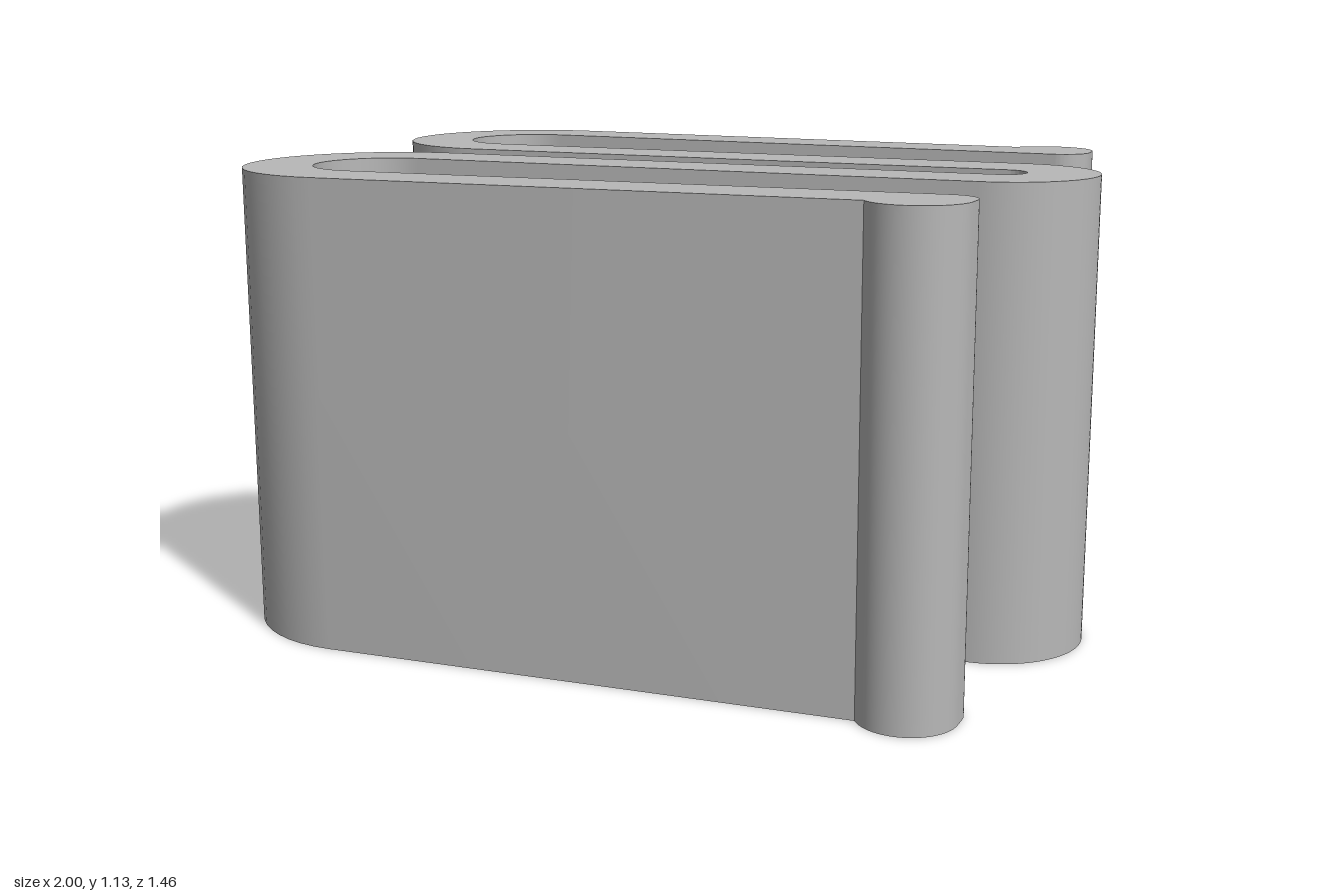
import * as THREE from 'three';
import { toCreasedNormals } from 'three/addons/utils/BufferGeometryUtils.js';

const HEIGHT = 1.13;
const STEPS = 24;

// Points on an arc in the x-z plane, angles in degrees from +x towards +z
function arc(cx, cz, r, from, to) {
  return Array.from({ length: STEPS + 1 }, (_, i) => {
    const a = THREE.MathUtils.degToRad(from + ((to - from) * i) / STEPS);
    return new THREE.Vector2(cx + r * Math.cos(a), cz + r * Math.sin(a));
  });
}

export function createModel() {
  const group = new THREE.Group();
  group.name = 'serpentineSpring';
  const grey = new THREE.MeshStandardMaterial({ color: 0xb8b8b8 });
  grey.name = 'grey';

  // Front half of the outline, from the outer to the inner side of the middle bend
  const half = [
    ...arc(0.773, 0, 0.227, 0, 90), // middle bend, outside
    ...arc(-0.667, 0.395, 0.166, 270, 87.6), // side bend, inside
    ...arc(0.787, 0.575, 0.075, -92.4, 0), // rounded arm tip
    ...arc(0.745, 0.61, 0.116, 0, 147), // end bead
    ...arc(-0.667, 0.395, 0.333, 87.6, 270), // side bend, outside
    ...arc(0.773, 0, 0.057, 90, 0), // middle bend, inside
  ];
  // Mirror it to the back, leaving out the two shared points
  const back = half.slice(1, -1).reverse().map((p) => new THREE.Vector2(p.x, -p.y));
  const shape = new THREE.Shape([...half, ...back]);

  // Folded strip, extruded upwards
  const extruded = new THREE.ExtrudeGeometry(shape, { depth: HEIGHT, bevelEnabled: false });
  extruded.rotateX(-Math.PI / 2);
  const strip = new THREE.Mesh(toCreasedNormals(extruded, Math.PI / 6), grey);
  strip.name = 'foldedStrip';
  group.add(strip);
  return group;
}
